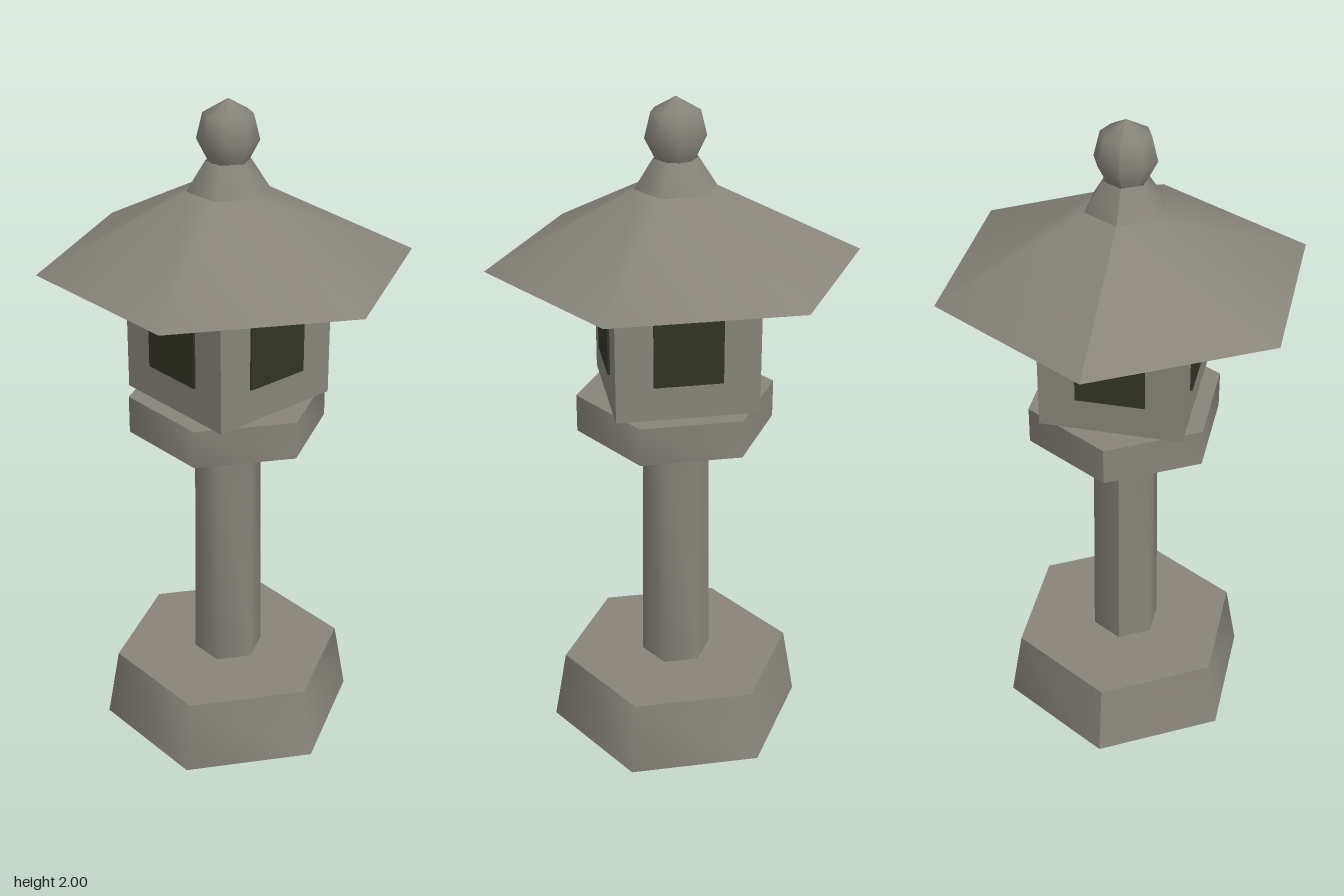
import * as THREE from 'three';

const stone = new THREE.MeshStandardMaterial({ color: 0x88847a, side: THREE.DoubleSide });
stone.name = 'stone';
const opening = new THREE.MeshStandardMaterial({ color: 0x323426 });
opening.name = 'dark opening';

export function createModel() {
  const group = new THREE.Group();
  group.name = 'stoneLantern';

  const add = (name, geometry, material, x = 0, y = 0, z = 0) => {
    const mesh = new THREE.Mesh(geometry, material);
    mesh.name = name;
    mesh.position.set(x, y, z);
    group.add(mesh);
    return mesh;
  };

  // Open turned shell, smooth around, with its seam at the back
  const shell = (name, profile, sides = 6) => {
    const points = profile.map(([r, y]) => new THREE.Vector2(r, y));
    const geometry = new THREE.LatheGeometry(points, sides, Math.PI);
    geometry.computeVertexNormals();
    return add(name, geometry, stone);
  };

  // Flat hexagonal top with a corner on the z axis
  const lid = (name, radius, y) => {
    const geometry = new THREE.CircleGeometry(radius, 6, Math.PI / 2);
    geometry.rotateX(-Math.PI / 2);
    return add(name, geometry, stone, 0, y, 0);
  };

  // Base, pillar and platform, hollow from below
  shell('base', [[0.394, 0], [0.356, 0.22]]);
  lid('baseTop', 0.356, 0.22);
  shell('pillar', [[0.107, 0.22], [0.1, 1.02]]);
  shell('platform', [[0.296, 1.015], [0.296, 1.13]]);
  lid('platformTop', 0.296, 1.13);

  // Square fire box with an opening on each side
  add('fireBox', new THREE.BoxGeometry(0.416, 0.4, 0.416), stone, 0, 1.33, 0);
  for (let i = 0; i < 4; i++) {
    const a = (i * Math.PI) / 2;
    const plate = add('window', new THREE.BoxGeometry(0.2, 0.2, 0.009), opening,
      Math.sin(a) * 0.21, 1.333, Math.cos(a) * 0.21);
    plate.rotation.y = a;
  }

  // Roof, neck and finial
  shell('roof', [[0.543, 1.53], [0.118, 1.745]]);
  shell('roofNeck', [[0.118, 1.745], [0.064, 1.83]]);
  shell('finial', [[0.055, 1.823], [0.088, 1.887], [0.07, 1.96], [0, 2]], 8);

  return group;
}
